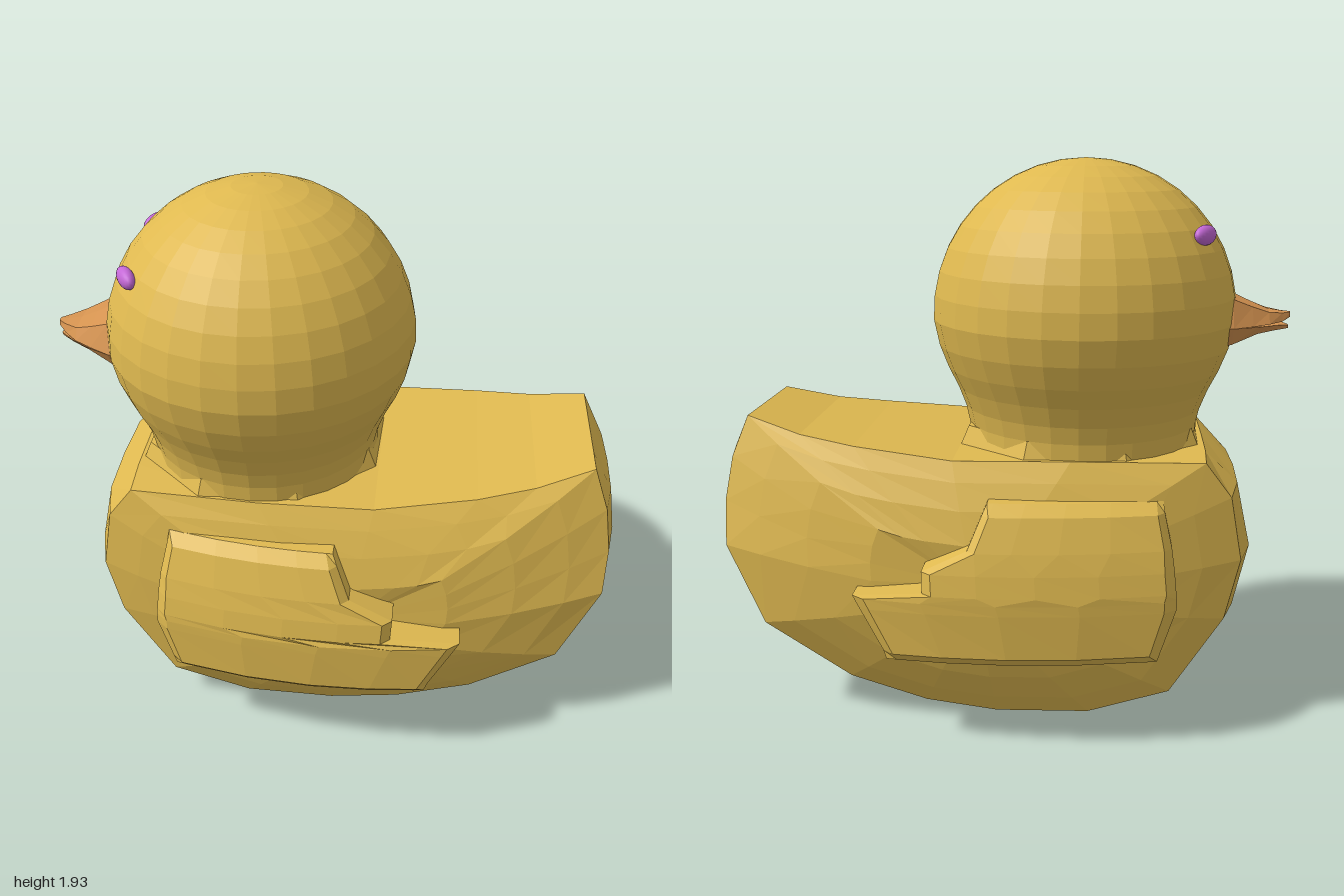
import * as THREE from 'three';

const V = (x, y, z) => new THREE.Vector3(x, y, z);

// Skin a list of closed rings (counter-clockwise seen from the first ring's outside)
function loft(rings, caps = true) {
  const collapse = (ring) => {
    const c = ring.reduce((s, p) => s.add(p), V(0, 0, 0)).divideScalar(ring.length);
    return ring.map(() => c);
  };
  const all = caps ? [collapse(rings[0]), ...rings, collapse(rings[rings.length - 1])] : rings;
  const pos = [];
  const tri = (a, b, c) => {
    const area = b.clone().sub(a).cross(c.clone().sub(a)).length();
    if (area > 1e-8) for (const p of [a, b, c]) pos.push(p.x, p.y, p.z);
  };
  for (let i = 0; i < all.length - 1; i++) {
    const r = all[i], q = all[i + 1], n = r.length;
    for (let j = 0; j < n; j++) {
      const k = (j + 1) % n;
      tri(r[j], q[j], q[k]);
      tri(r[j], q[k], r[k]);
    }
  }
  const g = new THREE.BufferGeometry();
  g.setAttribute('position', new THREE.Float32BufferAttribute(pos, 3));
  g.computeVertexNormals();
  return g;
}

// Side outline of the body: x, y, half width of the rim, bulge of the centre strip
const RIM = [
  [-0.70, 0.94, 0.38, 0.01], [-0.79, 0.82, 0.37, 0.04], [-0.83, 0.6, 0.37, 0.05],
  [-0.78, 0.39, 0.38, 0.05], [-0.6, 0.12, 0.4, 0.03], [-0.32, 0.03, 0.4, 0.02],
  [0, 0.02, 0.4, 0.02], [0.25, 0.05, 0.4, 0.02], [0.52, 0.13, 0.4, 0.02],
  [0.82, 0.33, 0.42, 0.02], [0.96, 0.6, 0.38, 0.03], [0.97, 0.75, 0.33, 0.03],
  [0.95, 0.9, 0.29, 0.03], [0.9, 1.04, 0.25, 0], [0.7, 0.99, 0.31, 0],
  [0.5, 0.965, 0.36, 0], [0.15, 0.935, 0.41, 0], [-0.25, 0.945, 0.42, 0],
];

function bodyGeometry() {
  const cx = 0.05, cy = 0.5, bulge = 0.55;
  // bulging flank, as shrinking copies of the outline
  const flank = (s, sign) => RIM.map(([x, y, w]) =>
    V(cx + (x - cx) * s, cy + (y - cy) * s, sign * (bulge - (bulge - w) * s * s)));
  // strip running around the breast, belly and tail
  const strip = (t, e) => RIM.map(([x, y, w, out]) => {
    const d = Math.hypot(x - cx, y - cy);
    return V(x + (x - cx) / d * out * e, y + (y - cy) / d * out * e, w * t);
  });
  const steps = [0.4, 0.65, 0.85, 1];
  return loft([
    ...steps.map((s) => flank(s, 1)),
    strip(0.6, 0.85), strip(0, 1), strip(-0.6, 0.85),
    ...steps.reverse().map((s) => flank(s, -1)),
  ]);
}

// Wing rows from top to bottom: y, front x, back x, edge bevel
const WING = [
  [0.825, -0.56, 0.02, 0.03], [0.79, -0.565, 0.035, 0], [0.68, -0.59, 0.08, 0],
  [0.61, -0.6, 0.23, 0], [0.54, -0.607, 0.225, 0], [0.515, -0.61, 0.465, 0],
  [0.48, -0.61, 0.445, 0], [0.33, -0.56, 0.36, 0], [0.3, -0.55, 0.35, 0.025],
];

function wingGeometry(side) {
  const columns = [0, 0.04, 0.3, 0.55, 0.78, 0.96, 1];
  const rings = WING.map(([y, x0, x1, bevel]) => {
    const outer = columns.map((u) => {
      const x = x0 + (x1 - x0) * u;
      const z = 0.655 - 0.22 * (x - 0.05) ** 2 - 0.55 * Math.max(0, y - 0.5) ** 1.5;
      return V(x, y, z - Math.max(bevel, u === 0 || u === 1 ? 0.025 : 0));
    });
    const inner = outer.map((p) => V(p.x, p.y, 0.4)).reverse();
    const ring = [...outer, ...inner];
    return side > 0 ? ring : ring.map((p) => V(p.x, p.y, -p.z)).reverse();
  });
  return loft(rings);
}

// Beak halves: x, half width, ridge y, mouth y
function beakGeometry(sections, upper) {
  return loft(sections.map(([x, w, ridge, mouth]) => {
    const shoulder = ridge + (mouth - ridge) * 0.12;
    const ring = [V(x, mouth, -w), V(x, shoulder, -w * 0.75), V(x, ridge, 0),
      V(x, shoulder, w * 0.75), V(x, mouth, w)];
    return upper ? ring : ring.reverse();
  }));
}

export function createModel() {
  const group = new THREE.Group();
  const material = (name, color, flatShading) => {
    const m = new THREE.MeshStandardMaterial({ color, flatShading });
    m.name = name;
    return m;
  };
  const yellow = material('yellow', 0xdfb950, true);
  const orange = material('orange', 0xd59350, true);
  const purple = material('purple', 0xc468d6, false);
  const add = (name, geometry, mat) => {
    const mesh = new THREE.Mesh(geometry, mat);
    mesh.name = name;
    group.add(mesh);
    return mesh;
  };

  add('body', bodyGeometry(), yellow);

  // Round head narrowing into the neck
  const r = 0.538;
  const profile = [[0.41, 0.92], [0.412, 1.0], [0.425, 1.06], [0.452, 1.13], [0.487, 1.2], [0.518, 1.28]]
    .map(([x, y]) => new THREE.Vector2(x, y));
  for (let i = 0; i <= 10; i++) {
    const a = (-2 + i * 9.2) * Math.PI / 180;
    profile.push(new THREE.Vector2(i === 10 ? 0 : r * Math.cos(a), 1.39 + r * Math.sin(a)));
  }
  add('head', new THREE.LatheGeometry(profile, 28), yellow).position.x = -0.275;

  // Faceted collar between neck and back
  const collar = add('collar', new THREE.CylinderGeometry(0.43, 0.47, 0.09, 8), yellow);
  collar.position.set(-0.275, 0.955, 0);
  collar.rotation.y = Math.PI / 8;
  collar.scale.z = 0.92;

  // Beak, slightly open at the tip
  add('upperBeak', beakGeometry([
    [-0.74, 0.19, 1.485, 1.36], [-0.79, 0.175, 1.468, 1.36], [-0.86, 0.135, 1.435, 1.362],
    [-0.92, 0.1, 1.41, 1.366], [-0.97, 0.05, 1.402, 1.37], [-1, 0.015, 1.4, 1.382],
  ], true), orange);
  add('lowerBeak', beakGeometry([
    [-0.74, 0.19, 1.275, 1.36], [-0.79, 0.175, 1.29, 1.36], [-0.88, 0.125, 1.328, 1.36],
    [-0.94, 0.08, 1.337, 1.36], [-0.98, 0.035, 1.339, 1.356], [-0.995, 0.015, 1.34, 1.352],
  ], false), orange);

  // Wings and eyes on both sides
  for (const side of [1, -1]) {
    const label = side > 0 ? 'front' : 'rear';
    add(label + 'Wing', wingGeometry(side), yellow);
    const eye = add(label + 'Eye', new THREE.SphereGeometry(1, 20, 14), purple);
    eye.scale.set(0.027, 0.034, 0.062);
    eye.position.set(-0.678, 1.68, side * 0.228);
    eye.rotation.y = side * 0.53;
  }
  return group;
}
